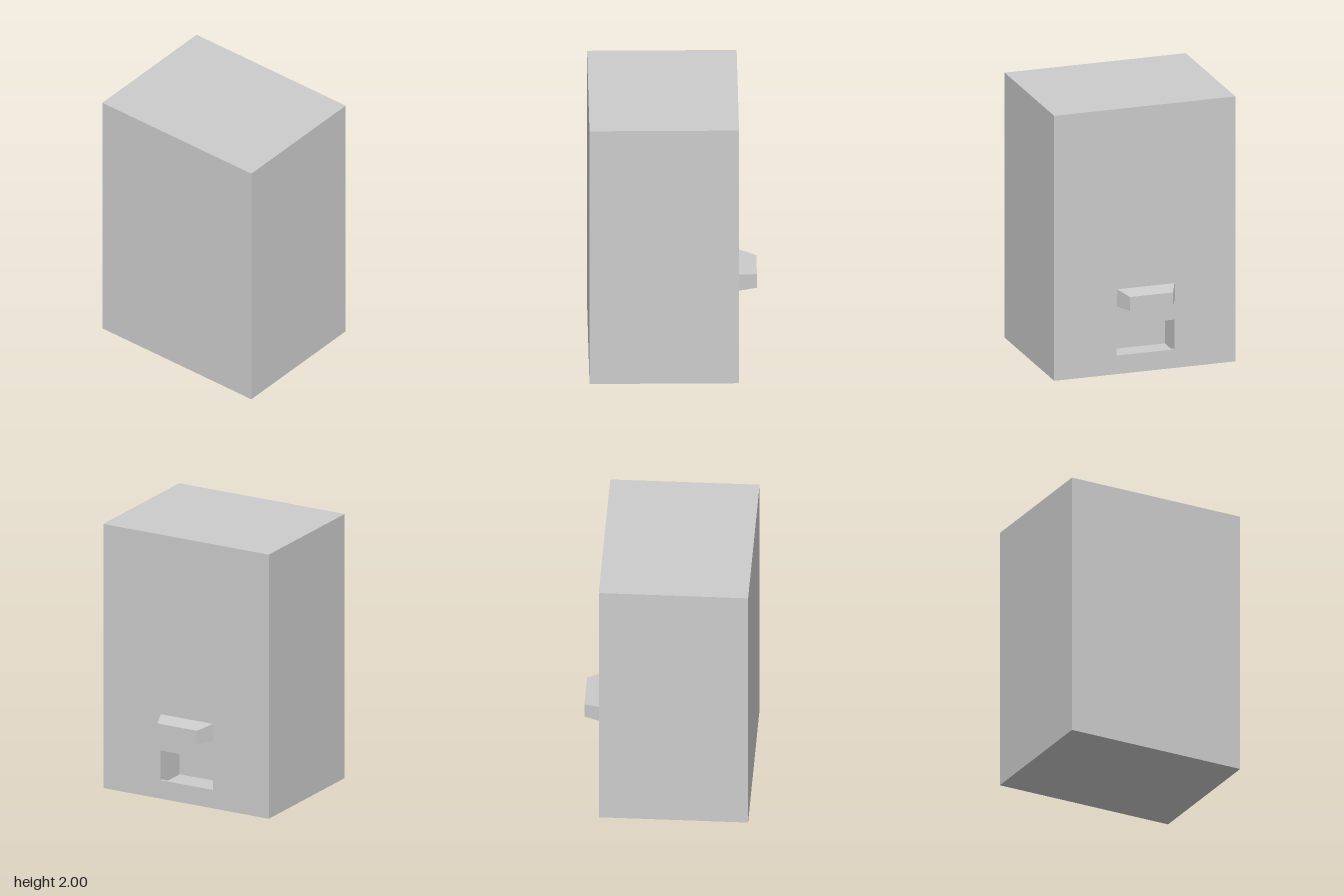
import * as THREE from 'three';

export function createModel() {
  const model = new THREE.Group();
  const material = new THREE.MeshStandardMaterial({ color: 0xcccccc, flatShading: true });

  const add = (name, geometry) => {
    const mesh = new THREE.Mesh(geometry, material);
    mesh.name = name;
    model.add(mesh);
  };

  // Rectangle in the z-y plane, drawn with u = -z
  const rect = (Type, z0, z1, y0, y1) => new Type([
    new THREE.Vector2(-z1, y0), new THREE.Vector2(-z0, y0),
    new THREE.Vector2(-z0, y1), new THREE.Vector2(-z1, y1),
  ]);

  // Slice of the cabinet from x0 to x1 with a rectangular opening
  const slice = (x0, x1, ...hole) => {
    const shape = rect(THREE.Shape, -0.69, 0.69, 0, 2);
    if (hole.length) shape.holes.push(rect(THREE.Path, ...hole));
    const g = new THREE.ExtrudeGeometry(shape, { depth: x1 - x0, bevelEnabled: false });
    return g.rotateY(Math.PI / 2).translate(x0, 0, 0);
  };

  // Cabinet: solid part, hollow chamber, and side panel with the slot
  add('cabinetBody', slice(-0.605, 0.05));
  add('chamberWalls', slice(0.05, 0.45, -0.3, 0.3, 0.05, 0.7));
  add('sidePanel', slice(0.45, 0.47, -0.225, 0.215, 0.14, 0.365));

  // Hood above the slot: a box tapered towards its outer end
  const hood = new THREE.BoxGeometry(0.135, 0.13, 0.435);
  hood.translate(0.5375, 0.575, -0.0075);
  const p = hood.attributes.position;
  for (let i = 0; i < p.count; i++) {
    if (p.getX(i) < 0.54) continue;
    p.setZ(i, p.getZ(i) > 0 ? 0.16 : -0.17);
    if (p.getY(i) > 0.6) p.setY(i, 0.617);
  }
  hood.computeVertexNormals();
  add('hood', hood);

  return model;
}
